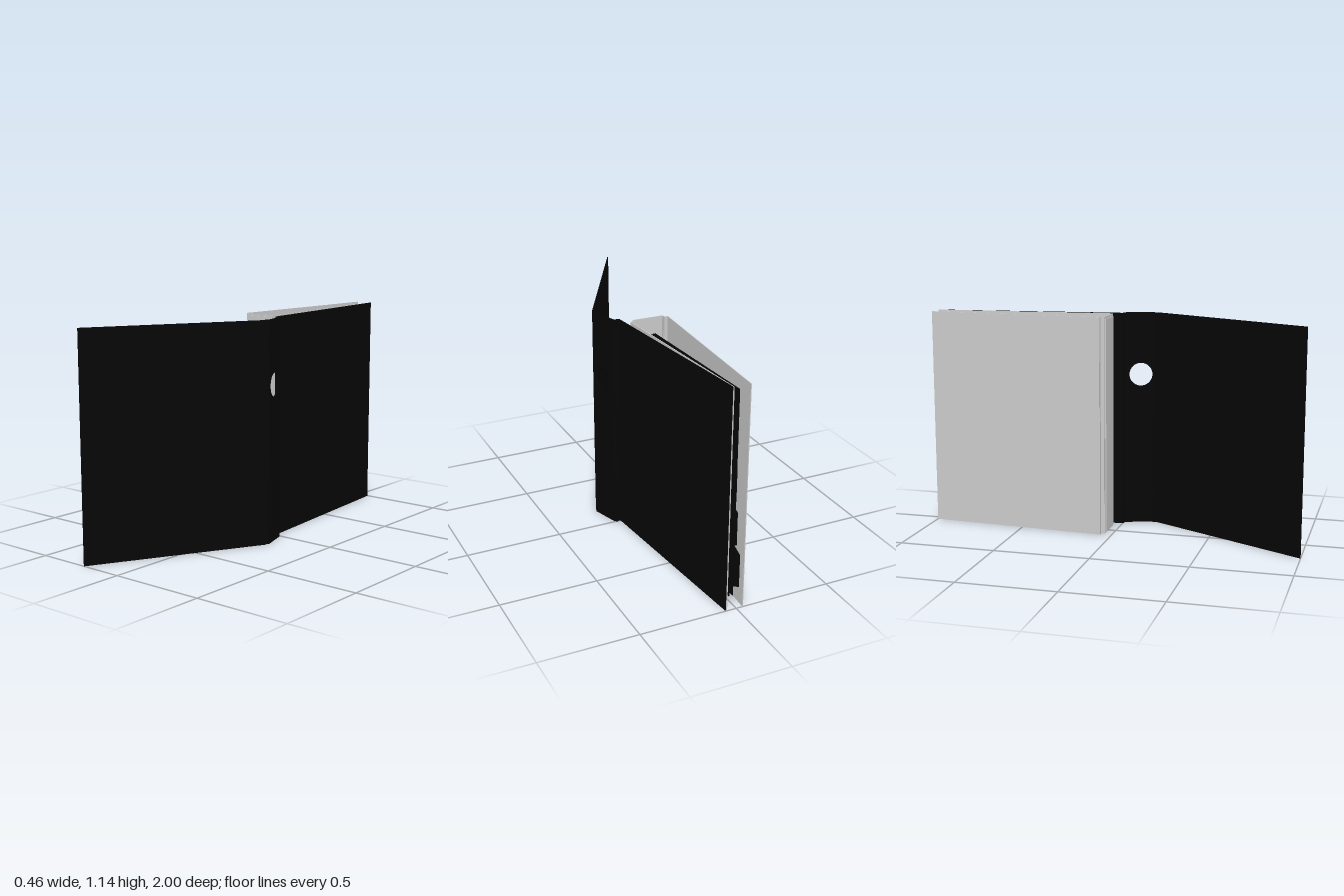
import * as THREE from 'three';

const H = 1.14;
const black = new THREE.MeshStandardMaterial({ color: 0x060606 });
const grey = new THREE.MeshStandardMaterial({ color: 0xcccccc });

// Shape from [along, height] corners
const poly = (pts) => new THREE.Shape(pts.map(([x, y]) => new THREE.Vector2(x, y)));
const rect = (w, y0, y1) => poly([[0, y0], [w, y0], [w, y1], [0, y1]]);
const span = (a, b) => Math.hypot(b[0] - a[0], b[1] - a[1]);

// Stands an outline upright along the floor line a -> b, points being [x, z]
function panel(name, shape, a, b, thickness, material) {
  const geo = new THREE.ExtrudeGeometry(shape, { depth: thickness, bevelEnabled: false, curveSegments: 32 });
  geo.translate(0, 0, -thickness / 2);
  const mesh = new THREE.Mesh(geo, material);
  mesh.name = name;
  mesh.position.set(a[0], 0, a[1]);
  mesh.rotation.y = Math.atan2(a[1] - b[1], b[0] - a[0]);
  return mesh;
}

// Full-height run of flat panels through a floor path
function wall(name, path, thickness, material) {
  const group = new THREE.Group();
  group.name = name;
  for (let i = 0; i + 1 < path.length; i++) {
    const a = path[i], b = path[i + 1];
    group.add(panel(name + 'Panel', rect(span(a, b), 0, H), a, b, thickness, material));
  }
  return group;
}

export function createModel() {
  const model = new THREE.Group();
  model.name = 'openBinder';

  // Outer case: two covers, folded hinges and spine
  const spineA = [0.178, 0.008], spineB = [0.222, 0.15];
  model.add(wall('backCover', [[0.054, -0.995], [0.147, 0]], 0.005, black));
  model.add(wall('backHinge', [[0.147, 0], [0.162, 0.004], [0.17, -0.002], spineA], 0.005, black));
  model.add(wall('frontHinge', [spineB, [0.206, 0.155], [0.22, 0.164], [0.215, 0.175]], 0.005, black));
  model.add(wall('frontCover', [[0.217, 0.172], [-0.226, 0.999]], 0.005, black));

  // Spine with finger hole, rim and label pocket
  const length = span(spineA, spineB), holeX = 0.08, holeY = 0.81, holeR = 0.063;
  const spineShape = rect(length, 0, H);
  spineShape.holes.push(new THREE.Path().absarc(holeX, holeY, holeR, 0, Math.PI * 2, true));
  const spine = panel('spine', spineShape, spineA, spineB, 0.01, black);
  const rim = new THREE.Mesh(new THREE.TorusGeometry(holeR + 0.002, 0.004, 8, 40), black);
  rim.name = 'fingerHoleRim';
  rim.position.set(holeX, holeY, -0.005);
  const pocket = new THREE.Mesh(new THREE.BoxGeometry(0.12, 0.36, 0.003), black);
  pocket.name = 'labelPocket';
  pocket.position.set(holeX, 0.26, -0.006);
  spine.add(rim, pocket);
  model.add(spine);

  // Inner grey folder with a stepped spine
  model.add(wall('innerFolder', [
    [-0.035, -0.999], [-0.092, -0.062], [-0.072, -0.062], [-0.072, -0.042],
    [0.092, -0.042], [0.092, -0.062], [0.112, -0.062], [0.05, -0.999],
  ], 0.004, grey));
  model.add(panel('spinePlate', rect(0.14, 0.01, H - 0.01), [-0.06, -0.038], [0.08, -0.038], 0.007, grey));

  // Tabbed dividers fanning out from the rings
  const backX = [-0.01, 0.01, 0.02, 0.035];
  backX.forEach((x, i) => {
    const a = [0.026 + i * 0.009, -0.16], b = [x, -0.998];
    const L = span(a, b), body = L - 0.05, y = 0.1 + i * 0.228;
    const outline = poly([
      [0, 0.04], [body, 0.04], [body, y - 0.01], [L, y + 0.015],
      [L, y + 0.185], [body, y + 0.21], [body, 1.1], [0, 1.1],
    ]);
    for (const dy of [-0.143, 0.143]) {
      outline.holes.push(new THREE.Path().absarc(0.03, H / 2 + dy, 0.011, 0, Math.PI * 2, true));
    }
    model.add(panel('tabDivider', outline, a, b, 0.003, black));
  });

  // Binding rings
  for (const dy of [-0.143, 0.143]) {
    const ring = new THREE.Mesh(new THREE.TorusGeometry(0.057, 0.005, 10, 40), black);
    ring.name = 'bindingRing';
    ring.rotation.x = Math.PI / 2;
    ring.position.set(0.048, H / 2 + dy, -0.125);
    model.add(ring);
  }
  return model;
}
